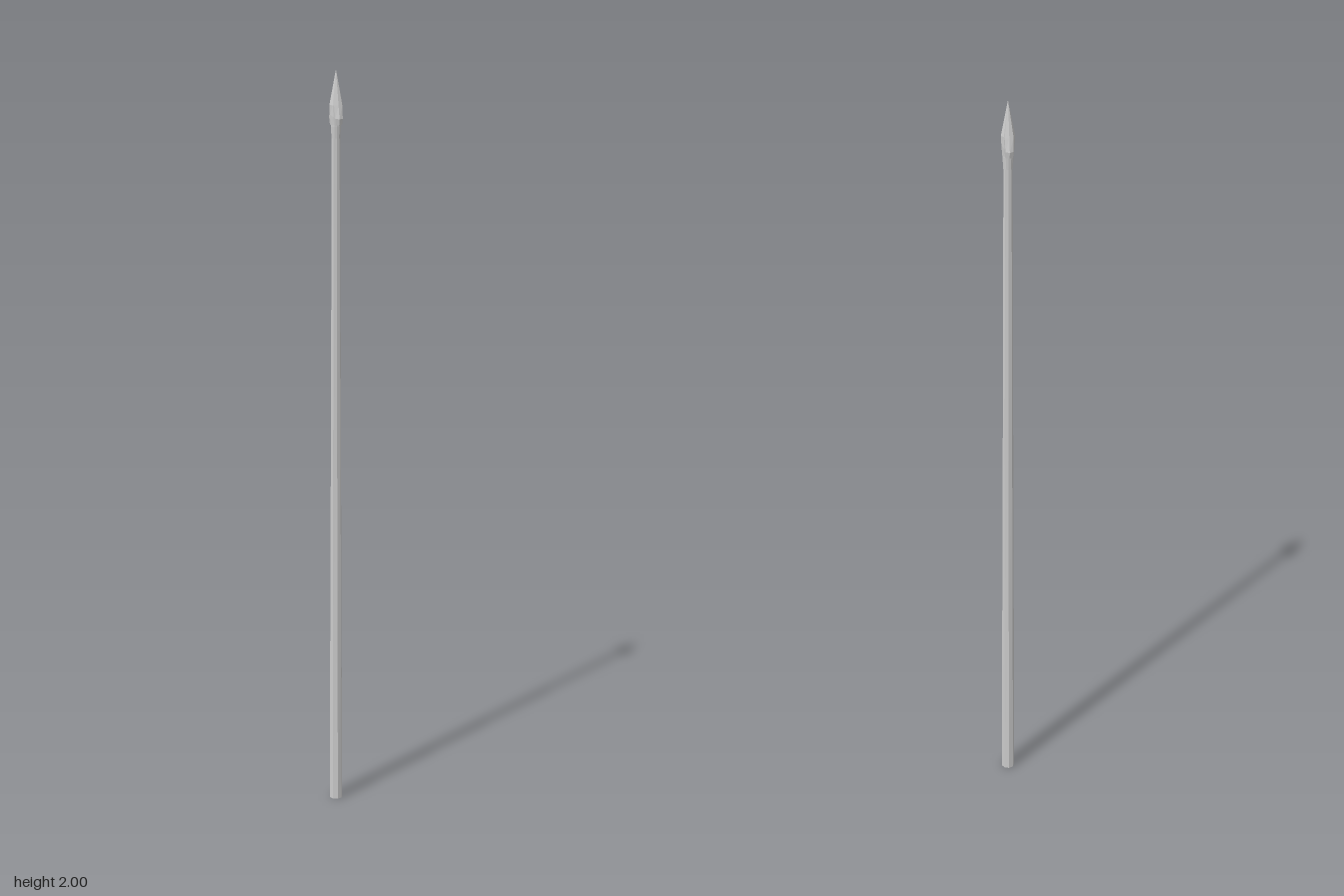
import * as THREE from 'three';

const material = () => new THREE.MeshStandardMaterial({ color: 0xcccccc, flatShading: true });

// Skins horizontal loops of points, listed from bottom to top, and caps both ends.
function loft(rings) {
  const n = rings[0].length, pos = [], index = [];
  rings.forEach(r => r.forEach(p => pos.push(...p)));
  for (let j = 0; j < rings.length - 1; j++) {
    for (let i = 0; i < n; i++) {
      const a = j * n + i, b = j * n + (i + 1) % n;
      index.push(a, a + n, b, b, a + n, b + n);
    }
  }
  for (let i = 1; i < n - 1; i++) index.push(0, i, i + 1);
  const g = new THREE.BufferGeometry();
  g.setAttribute('position', new THREE.Float32BufferAttribute(pos, 3));
  g.setIndex(index);
  const flat = g.toNonIndexed();
  flat.computeVertexNormals();
  return flat;
}

// Twelve-point loop; the height blends from the broad x sides to the z barbs.
const outline = [[1, 0], [0.66, 0.45], [0.62, 0.87], [0, 1]];
function headRing(rx, rz, ySide, yBarb) {
  const quarter = outline.map(([x, z]) => [x * rx, ySide + (yBarb - ySide) * z, z * rz]);
  const back = quarter.slice(0, 3).reverse().map(([x, y, z]) => [-x, y, z]);
  const half = [...quarter, ...back];
  return [...half, ...half.slice(1, 6).reverse().map(([x, y, z]) => [x, y, -z])];
}

function ellipseRing(rx, rz, y, n = 12) {
  return Array.from({ length: n }, (_, i) => {
    const a = (i / n) * Math.PI * 2;
    return [rx * Math.cos(a), y, rz * Math.sin(a)];
  });
}

export function createModel() {
  const group = new THREE.Group();
  const add = (name, geometry) => {
    const mesh = new THREE.Mesh(geometry, material());
    mesh.name = name;
    group.add(mesh);
  };

  // Eight-sided shaft, round at the butt and flattened toward the head
  add('shaft', loft([
    ellipseRing(0.018, 0.017, 0, 8),
    ellipseRing(0.0165, 0.0135, 0.48, 8),
    ellipseRing(0.0145, 0.0105, 0.98, 8),
    ellipseRing(0.0125, 0.008, 1.56, 8),
    ellipseRing(0.0115, 0.007, 1.9, 8),
  ]));

  // Socket gripping the shaft
  add('socket', loft([
    ellipseRing(0.012, 0.0085, 1.825),
    ellipseRing(0.014, 0.0095, 1.855),
    ellipseRing(0.013, 0.009, 1.9),
  ]));

  // Pointed head with barbs along z
  add('spearhead', loft([
    headRing(0.011, 0.01, 1.86, 1.88),
    headRing(0.0145, 0.0265, 1.86, 1.86),
    headRing(0.0165, 0.029, 1.885, 1.875),
    headRing(0.018, 0.021, 1.91, 1.91),
    headRing(0.0002, 0.0002, 2, 2),
  ]));

  return group;
}
